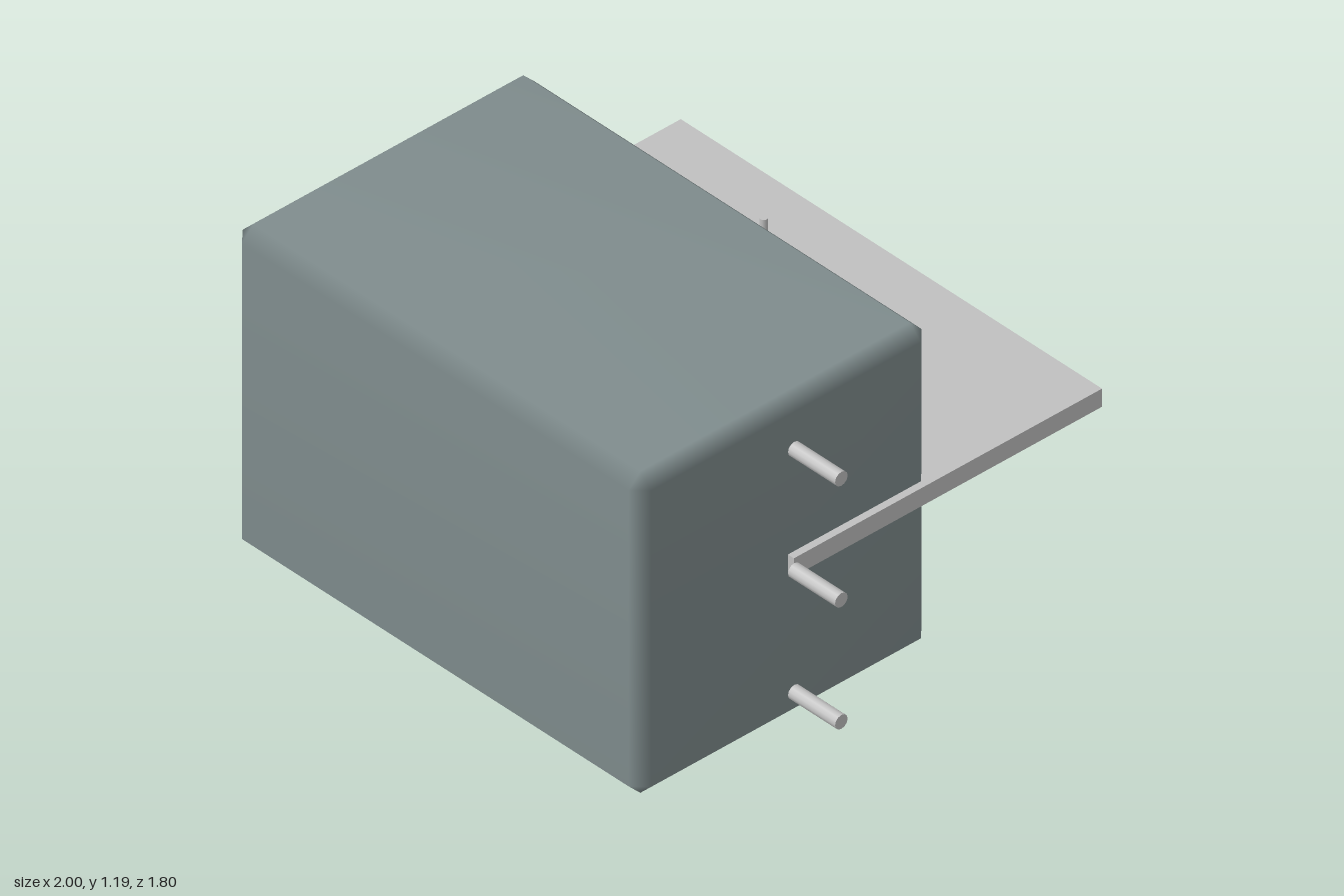
import * as THREE from 'three';
import { mergeVertices } from 'three/addons/utils/BufferGeometryUtils.js';
import { ConvexGeometry } from 'three/addons/geometries/ConvexGeometry.js';

// Box with single-step bevels and softly shaded edges
function bevelledBox(w, h, d, b) {
  const pts = [];
  for (const sx of [-1, 1]) for (const sy of [-1, 1]) for (const sz of [-1, 1]) {
    const x = sx * w / 2, y = sy * h / 2, z = sz * d / 2;
    pts.push(
      new THREE.Vector3(x, y - sy * b, z - sz * b),
      new THREE.Vector3(x - sx * b, y, z - sz * b),
      new THREE.Vector3(x - sx * b, y - sy * b, z),
    );
  }
  const hull = new ConvexGeometry(pts);
  hull.deleteAttribute('normal');
  const geo = mergeVertices(hull, 1e-4);
  geo.computeVertexNormals();
  return geo;
}

export function createModel() {
  const model = new THREE.Group();
  model.name = 'deviceBox';

  const casing = new THREE.MeshStandardMaterial({ color: 0x7f8c8d });
  casing.name = 'casing grey';
  const silver = new THREE.MeshStandardMaterial({ color: 0xc0c0c0 });
  silver.name = 'silver';

  function add(name, geo, mat, x, y, z, parent = model) {
    const mesh = new THREE.Mesh(geo, mat);
    mesh.name = name;
    mesh.position.set(x, y, z);
    parent.add(mesh);
    return mesh;
  }

  // Main casing
  add('body', bevelledBox(1.735, 1.155, 1.155, 0.046), casing, -0.103, 0.6175, 0.3175);

  // Horizontal plate running through the casing and out at the back
  add('plate', new THREE.BoxGeometry(1.79, 0.065, 1.215), silver, -0.105, 0.6175, -0.2975);

  // Three pins beside the left wall
  const pinGeo = new THREE.CylinderGeometry(0.025, 0.025, 0.2, 12);
  for (const y of [0.18, 0.6175, 1.053]) {
    add('sidePin', pinGeo, silver, 0.9, y, 0.3175).rotation.z = Math.PI / 2;
  }

  // Star of crossing rods behind the casing
  const star = new THREE.Group();
  star.name = 'rodStar';
  star.position.set(-0.105, 0.6175, -0.402);
  model.add(star);
  const rodGeo = new THREE.CylinderGeometry(0.0125, 0.0125, 0.83, 12);
  for (let i = 0; i < 4; i++) {
    add('rod', rodGeo, silver, 0, 0, 0, star).rotation.z = i * Math.PI / 4;
  }

  // Grid of small feet under the casing
  const footGeo = new THREE.BoxGeometry(0.162, 0.045, 0.045);
  for (let col = 0; col < 5; col++) {
    for (let row = 0; row < 4; row++) {
      add('foot', footGeo, silver, -0.713 + col * 0.29, 0.0225, 0.121 + row * 0.174);
    }
  }

  return model;
}
